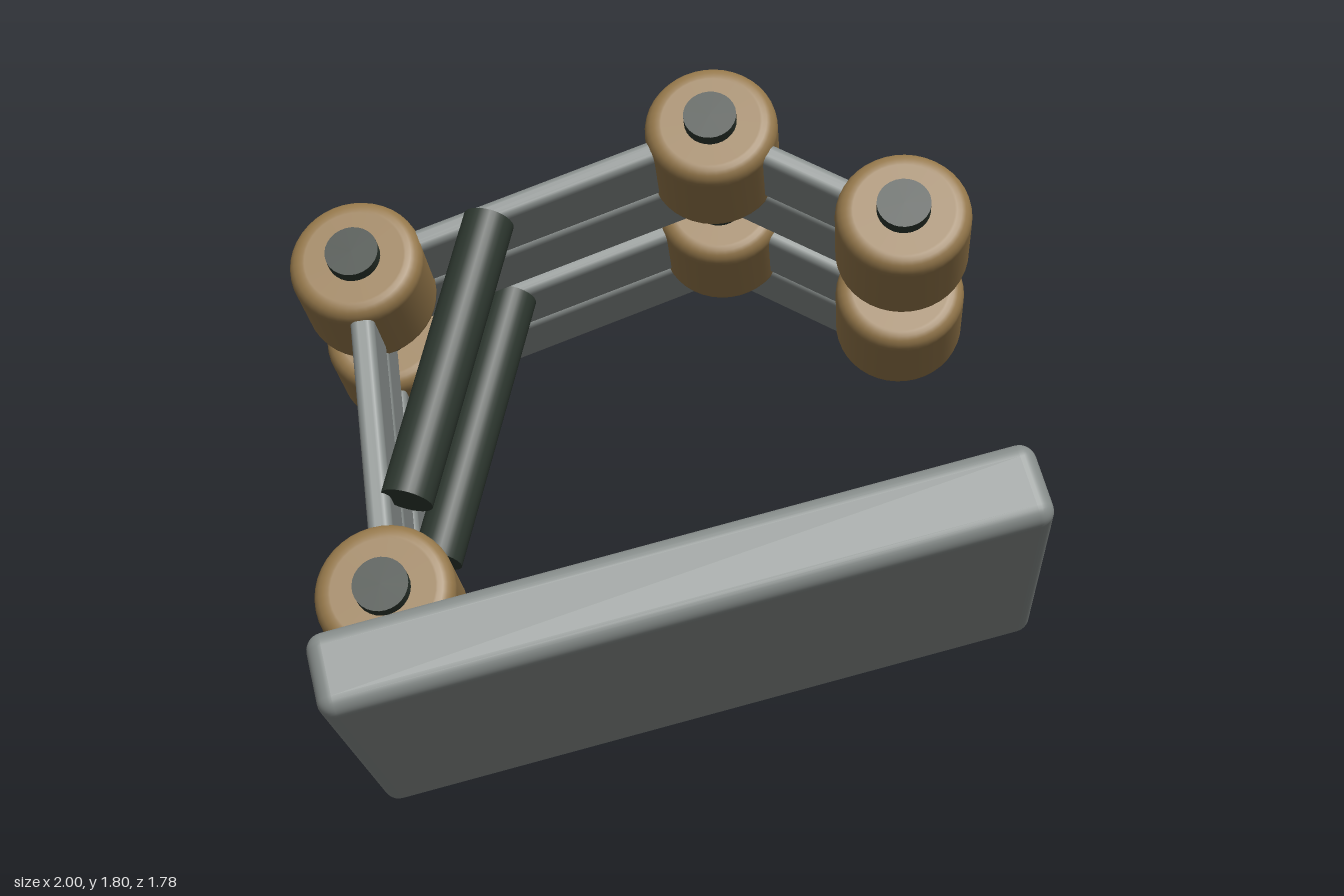
import * as THREE from 'three';
import { RoundedBoxGeometry } from 'three/addons/geometries/RoundedBoxGeometry.js';

const material = (name, color) => {
  const m = new THREE.MeshStandardMaterial({ color });
  m.name = name;
  return m;
};

// Rounded drum profile, spun around y and laid along z
function drumGeometry(radius, half, bevel) {
  const pts = [new THREE.Vector2(0, -half), new THREE.Vector2(radius - bevel - 0.005, -half)];
  for (const side of [-1, 1]) {
    for (let i = 0; i <= 5; i++) {
      const t = (side < 0 ? i - 5 : i) / 5 * Math.PI / 2;
      pts.push(new THREE.Vector2(
        radius - bevel + bevel * Math.cos(t),
        side * (half - bevel) + bevel * Math.sin(t)));
    }
  }
  pts.push(new THREE.Vector2(radius - bevel - 0.005, half), new THREE.Vector2(0, half));
  return new THREE.LatheGeometry(pts, 40).rotateX(Math.PI / 2);
}

export function createModel() {
  const grey = material('grey metal', 0x868c8a);
  const tan = material('tan joint', 0x94774a);
  const dark = material('dark green steel', 0x2d372f);

  const model = new THREE.Group();
  model.name = 'linkageModel';
  const tilted = new THREE.Group();
  tilted.name = 'tiltedLinkage';
  model.add(tilted);

  const add = (parent, name, geometry, mat, x, y, z, angle = 0) => {
    const mesh = new THREE.Mesh(geometry, mat);
    mesh.name = name;
    mesh.position.set(x, y, z);
    mesh.rotation.z = angle;
    parent.add(mesh);
    return mesh;
  };

  // Base slab
  add(tilted, 'baseSlab', new RoundedBoxGeometry(1.68, 0.2, 0.825, 4, 0.04), grey, 0.818, 0.087, 0.398);

  // Joint centres in the plane of each arm, from the base outward
  const joints = [[0.174, 0.25], [0.275, 1.086], [1.184, 1.195], [1.558, 0.831]];
  const drum = drumGeometry(0.162, 0.124, 0.037);
  const pin = new THREE.CylinderGeometry(0.064, 0.064, 0.2, 28).rotateX(Math.PI / 2);
  const strut = new THREE.CylinderGeometry(0.062, 0.062, 0.736, 28);

  // Two identical arms side by side
  [['leftArm', 0.655], ['rightArm', 0.245]].forEach(([name, z]) => {
    const arm = new THREE.Group();
    arm.name = name;
    arm.position.z = z;
    tilted.add(arm);

    joints.forEach(([x, y], i) => {
      add(arm, 'jointDrum', drum, tan, x, y, 0);
      add(arm, 'jointPin', pin, dark, x, y, 0.055);
      if (i === 0) return;
      // Pair of flat bars from the previous joint
      const [px, py] = joints[i - 1];
      const length = Math.hypot(x - px, y - py) + 0.03;
      const bar = new RoundedBoxGeometry(length, 0.058, 0.179, 3, 0.02);
      for (const offset of [-0.168, 0.011]) {
        add(arm, 'linkBar', bar, grey, (x + px) / 2, (y + py) / 2, offset, Math.atan2(y - py, x - px));
      }
    });

    // Diagonal strut in front of the bars
    add(arm, 'strut', strut, dark, 0.436, 0.786, 0.08, -Math.atan2(0.341, 0.652));
  });

  // Tilt of the whole linkage
  const along = new THREE.Vector3(0.799, 0.25, -0.549).normalize();
  const across = new THREE.Vector3(0.344, 0.561, 0.753);
  const up = new THREE.Vector3().crossVectors(across, along).normalize();
  across.crossVectors(along, up);
  tilted.quaternion.setFromRotationMatrix(new THREE.Matrix4().makeBasis(along, up, across));
  tilted.position.set(-0.58, 0, 0.28);
  return model;
}
